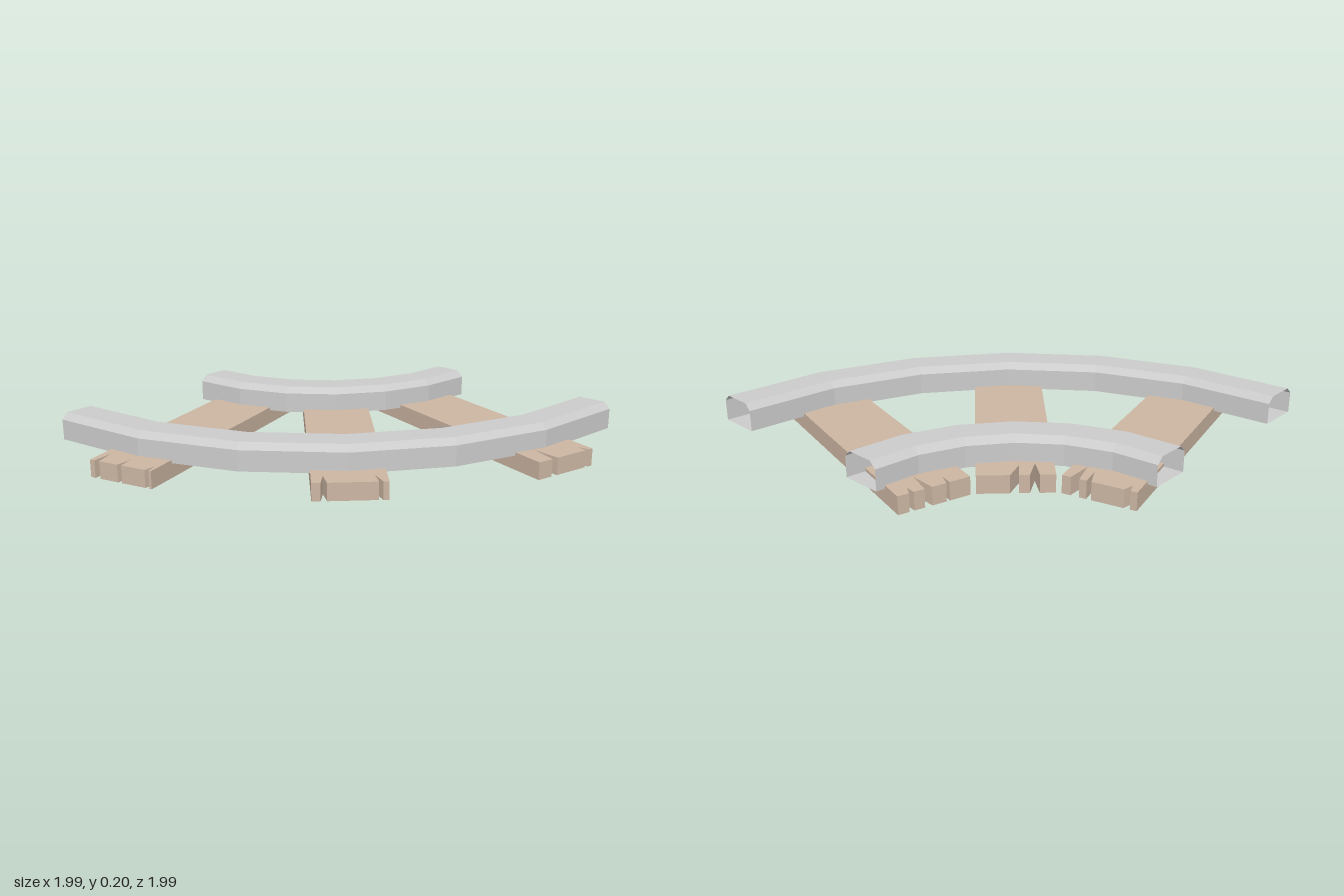
import * as THREE from 'three';

const railMaterial = new THREE.MeshStandardMaterial({ color: 0xcccccc, flatShading: true, side: THREE.DoubleSide });
const woodMaterial = new THREE.MeshStandardMaterial({ color: 0xccb6a3, flatShading: true });

// The quarter curve turns about this corner
const CENTRE = { x: 1, z: -1 };

// Hollow rail with chamfered top edges and open ends, in six straight pieces
function makeRail(name, inner, outer) {
  const profile = [
    [outer, 0.07], [outer, 0.17], [outer - 0.03, 0.2],
    [inner + 0.03, 0.2], [inner, 0.17], [inner, 0.07], [outer, 0.07],
  ].map(([r, y]) => new THREE.Vector2(r, y));
  const rail = new THREE.Mesh(new THREE.LatheGeometry(profile, 6, -Math.PI / 2, Math.PI / 2), railMaterial);
  rail.name = name;
  rail.position.set(CENTRE.x, 0, CENTRE.z);
  return rail;
}

// Radial plank; each split is [start, end, depth, tip] across its end
function makeSleeper(name, degrees, innerSplits, outerSplits) {
  const near = 0.673, far = 2.02, half = 0.168;
  const outline = [[near, -half]];
  for (const [a, b, depth, tip] of innerSplits) {
    outline.push([near, a], [near + depth, tip], [near, b]);
  }
  outline.push([near, half], [far, half]);
  for (const [a, b, depth, tip] of [...outerSplits].reverse()) {
    outline.push([far, b], [far - depth, tip], [far, a]);
  }
  outline.push([far, -half]);

  const angle = THREE.MathUtils.degToRad(degrees);
  const s = Math.sin(angle), c = Math.cos(angle);
  const shape = new THREE.Shape(outline.map(([u, v]) => new THREE.Vector2(
    CENTRE.x - s * u + c * v,
    -(CENTRE.z + c * u + s * v),
  )));
  const geometry = new THREE.ExtrudeGeometry(shape, { depth: 0.085, bevelEnabled: false });
  geometry.rotateX(-Math.PI / 2);
  const sleeper = new THREE.Mesh(geometry, woodMaterial);
  sleeper.name = name;
  return sleeper;
}

export function createModel() {
  const track = new THREE.Group();
  track.name = 'curvedTrack';

  track.add(makeRail('innerRail', 0.81, 1.0));
  track.add(makeRail('outerRail', 1.69, 1.885));

  // Three planks with split, weathered ends
  track.add(makeSleeper('frontSleeper', 15,
    [[-0.07, -0.055, 0.06, -0.07], [0.011, 0.045, 0.12, 0.034], [0.094, 0.116, 0.05, 0.1]],
    [[-0.088, -0.055, 0.14, -0.073], [0.123, 0.145, 0.055, 0.123]]));
  track.add(makeSleeper('middleSleeper', 45,
    [[-0.1, -0.058, 0.11, -0.085], [-0.013, 0.025, 0.093, -0.016]],
    [[-0.128, -0.1, 0.08, -0.115], [0.123, 0.142, 0.083, 0.112]]));
  track.add(makeSleeper('backSleeper', 75,
    [[-0.138, -0.11, 0.05, -0.13], [0.034, 0.056, 0.09, 0.06], [0.089, 0.128, 0.12, 0.105]],
    [[-0.143, -0.116, 0.1, -0.13], [-0.016, 0.006, 0.08, 0.0], [0.133, 0.155, 0.055, 0.148]]));

  return track;
}
